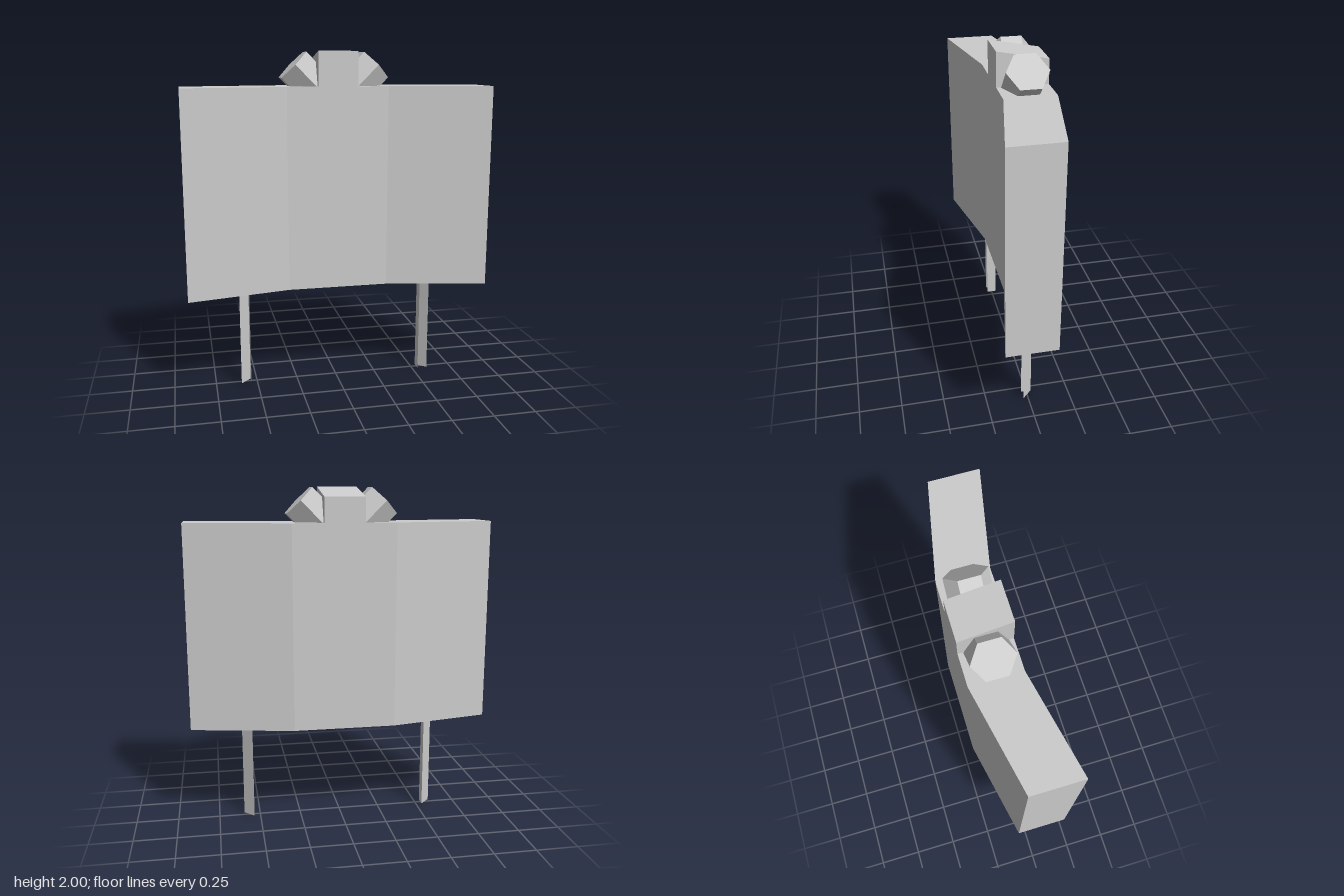
import * as THREE from 'three';

export function createModel() {
  const model = new THREE.Group();
  const grey = new THREE.MeshStandardMaterial({ color: 0xcccccc, flatShading: true, side: THREE.DoubleSide });
  grey.name = 'grey';

  const add = (name, geometry) => {
    const mesh = new THREE.Mesh(geometry, grey);
    mesh.name = name;
    model.add(mesh);
    return mesh;
  };
  const extrude = (points, depth) => new THREE.ExtrudeGeometry(
    new THREE.Shape(points.map(([x, y]) => new THREE.Vector2(x, y))),
    { depth, bevelEnabled: false });

  // Bent panel: plan outline (x, -z) raised upwards
  const plan = [
    [-0.9, -0.205], [-0.3, -0.085], [0.3, -0.085], [0.9, -0.205],
    [0.9, 0.09], [0.3, 0.21], [-0.3, 0.21], [-0.9, 0.09],
  ];
  add('panel', extrude(plan, 1.2).rotateX(-Math.PI / 2).translate(0, 0.6, 0));

  // Centre block with a top that slopes down to the back: outline (-z, y)
  const side = [[-0.085, 1.8], [0.21, 1.8], [0.21, 1.943], [-0.085, 2]];
  add('centreBlock', extrude(side, 0.234).rotateY(Math.PI / 2).translate(-0.117, 0, 0));

  for (const s of [1, -1]) {
    const label = s > 0 ? 'left' : 'right';

    // Six-sided lamp tilted outwards by 45 degrees
    const length = 0.24;
    const lamp = add(label + 'Lamp', new THREE.CylinderGeometry(0.12, 0.12, length, 6));
    const inset = length / 2 * Math.SQRT1_2;
    lamp.rotation.z = -s * Math.PI / 4;
    lamp.position.set(s * (0.245 - inset), 1.922 - inset, -0.06);

    // Leg: thin open V section, one diagonal and one straight plate
    const section = [[0.597, 0.03], [0.537, -0.03], [0.537, 0.03]];
    const positions = [];
    for (const [x, z] of section) positions.push(s * x, 0, z, s * x, 0.6, z);
    const leg = new THREE.BufferGeometry();
    leg.setAttribute('position', new THREE.Float32BufferAttribute(positions, 3));
    leg.setIndex([0, 2, 1, 1, 2, 3, 2, 4, 3, 3, 4, 5]);
    const flat = leg.toNonIndexed();
    flat.computeVertexNormals();
    add(label + 'Leg', flat);
  }
  return model;
}
